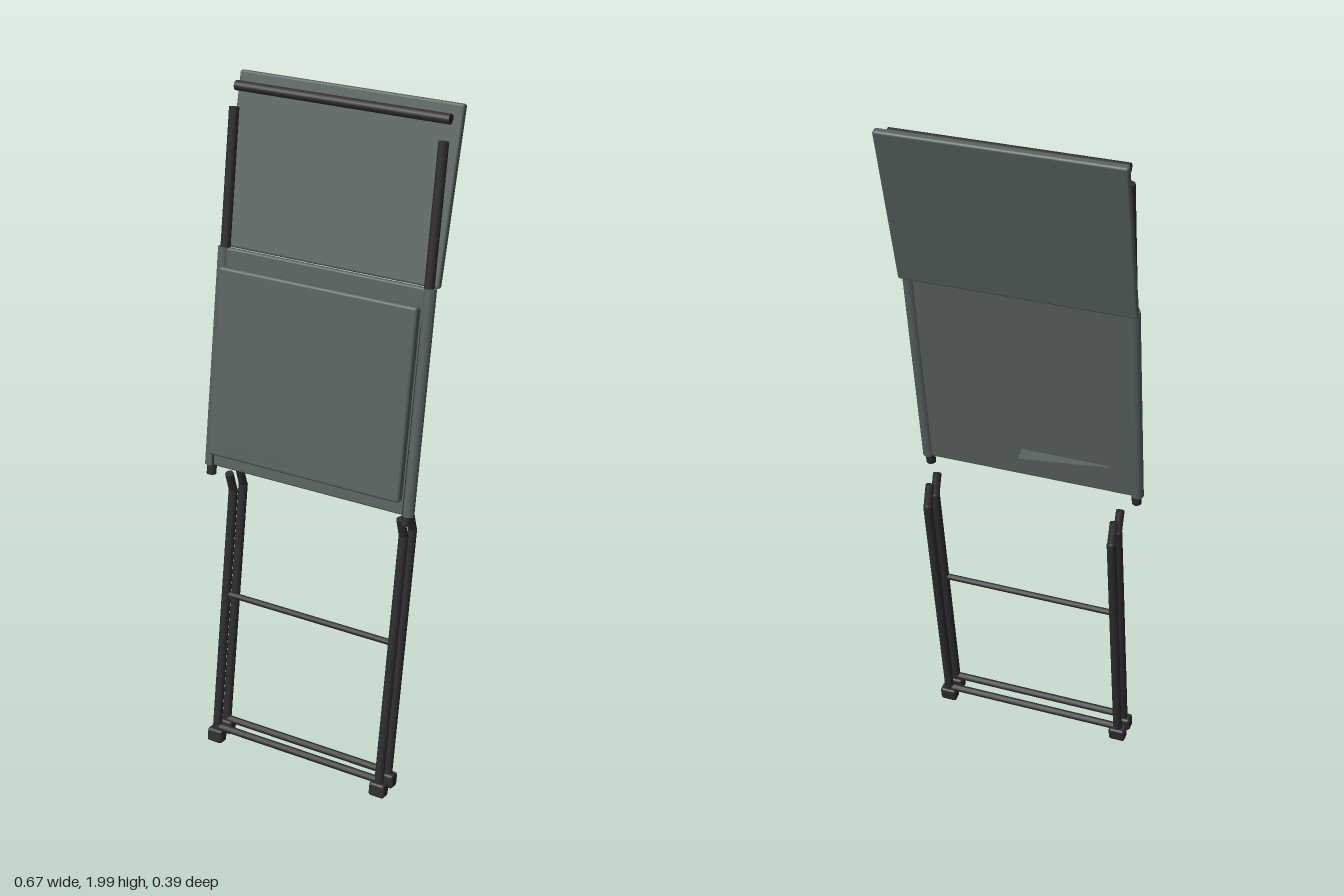
import * as THREE from 'three';
import { RoundedBoxGeometry } from 'three/addons/geometries/RoundedBoxGeometry.js';

const material = (name, color, side = THREE.FrontSide) => {
  const m = new THREE.MeshStandardMaterial({ color, side });
  m.name = name;
  return m;
};

export function createModel() {
  const group = new THREE.Group();
  const fabric = material('greyGreenFabric', 0x56605c, THREE.DoubleSide);
  const metal = material('blackMetal', 0x2c2c2c);

  const add = (name, geometry, mat) => {
    const mesh = new THREE.Mesh(geometry, mat);
    mesh.name = name;
    group.add(mesh);
    return mesh;
  };

  // Round rod between two points
  const rod = (name, a, b, r, mat = metal) => {
    const p = new THREE.Vector3(...a), q = new THREE.Vector3(...b);
    const d = q.clone().sub(p);
    const mesh = add(name, new THREE.CylinderGeometry(r, r, d.length(), 12), mat);
    mesh.position.copy(p).add(q).multiplyScalar(0.5);
    mesh.quaternion.setFromUnitVectors(new THREE.Vector3(0, 1, 0), d.normalize());
  };

  // Leaning slab between a lower and an upper [y, z] point
  const slab = (name, x, w, t, [y0, z0], [y1, z1], mat) => {
    const h = Math.hypot(y1 - y0, z1 - z0);
    const mesh = add(name, new RoundedBoxGeometry(w, h, t, 2, Math.min(t * 0.3, 0.008)), mat);
    mesh.position.set(x, (y0 + y1) / 2, (z0 + z1) / 2);
    mesh.rotation.x = Math.atan2(z1 - z0, y1 - y0);
  };

  // Fabric panels
  slab('upperPanel', 0, 0.666, 0.022, [1.535, -0.063], [1.998, -0.184], fabric);
  slab('lowerPanel', 0, 0.65, 0.018, [0.913, 0.055], [1.54, -0.044], fabric);
  slab('frontCushion', 0, 0.605, 0.03, [0.962, 0.079], [1.499, -0.006], fabric);

  // Loose slip passing through the cushion
  const slip = new THREE.BufferGeometry();
  slip.setAttribute('position', new THREE.Float32BufferAttribute([
    -0.21, 1.03, 0.195, 0.04, 1.025, 0.16, 0.015, 1.0, -0.01, -0.235, 1.005, 0.025,
  ], 3));
  slip.setIndex([0, 1, 2, 0, 2, 3]);
  slip.computeVertexNormals();
  add('slip', slip, fabric);

  // Top bar
  rod('topBar', [-0.319, 1.97, -0.13], [0.317, 1.97, -0.13], 0.014);

  for (const s of [-1, 1]) {
    // Side rails and the fabric sleeves around them
    rod('sideRail', [s * 0.311, 0.885, 0.06], [s * 0.311, 1.918, -0.104], 0.014);
    rod('panelSleeve', [s * 0.315, 0.913, 0.055], [s * 0.315, 1.54, -0.044], 0.017, fabric);

    // Front and rear legs with bent tops and feet
    const x = s * 0.276;
    for (const [side, dz, dy] of [['front', 0, 0], ['rear', -0.055, -0.005]]) {
      const bend = [x, 0.812 + dy, 0.001 + dz];
      rod(side + 'Leg', [x, 0.03 + dy, 0.126 + dz], bend, 0.0135);
      rod(side + 'LegTop', bend, [x, 0.875 + dy, 0.02 + dz], 0.0125);
      add(side + 'LegBend', new THREE.SphereGeometry(0.0135, 12, 8), metal).position.set(...bend);
      slab(side + 'Foot', x, 0.05, 0.036, [0.009, 0.128 + dz], [0.052, 0.121 + dz], metal);
    }
  }

  // Crossbars
  rod('frontLowerBar', [-0.276, 0.058, 0.121], [0.276, 0.058, 0.121], 0.011);
  rod('rearLowerBar', [-0.276, 0.054, 0.067], [0.276, 0.054, 0.067], 0.011);
  rod('middleBar', [-0.276, 0.49, 0.052], [0.276, 0.49, 0.052], 0.009);

  return group;
}
